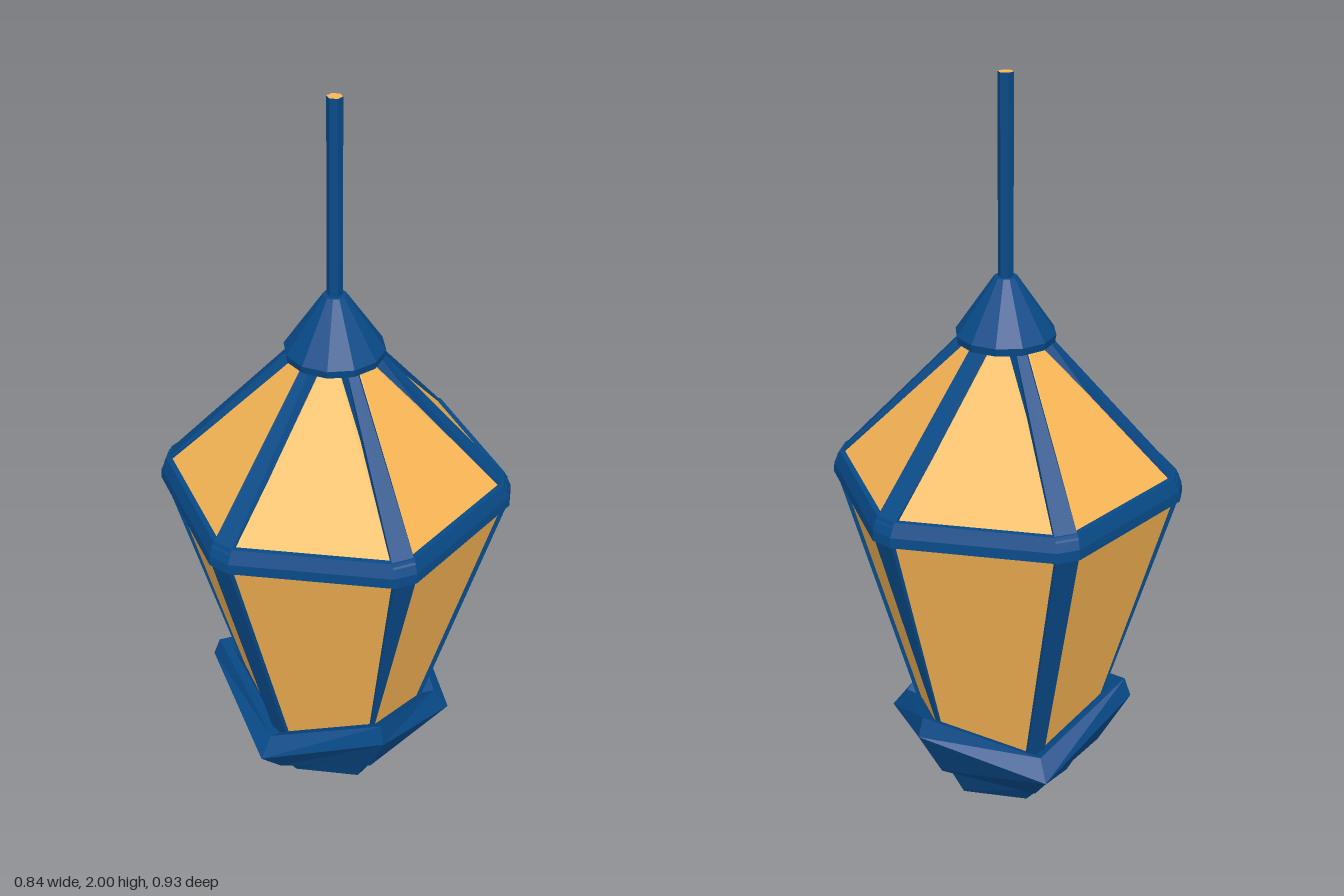
import * as THREE from 'three';

const blue = new THREE.MeshStandardMaterial({ color: 0x084a88, flatShading: true });
const amber = new THREE.MeshStandardMaterial({ color: 0xf9b656, flatShading: true });

// Point at angle a: r outwards, t sideways, y up.
function polar(a, r, y, t = 0) {
  return [Math.sin(a) * r + Math.cos(a) * t, y, Math.cos(a) * r - Math.sin(a) * t];
}

// Joins a list of equal-length rings (counter-clockwise from above) into a faceted skin.
function loft(rings, capped = true) {
  const pos = [];
  const tri = (a, b, c) => pos.push(...a, ...b, ...c);
  const n = rings[0].length;
  for (let k = 0; k + 1 < rings.length; k++) {
    const lo = rings[k], hi = rings[k + 1];
    for (let i = 0; i < n; i++) {
      const j = (i + 1) % n;
      tri(lo[i], lo[j], hi[j]);
      tri(lo[i], hi[j], hi[i]);
    }
  }
  if (capped) {
    const first = rings[0], last = rings[rings.length - 1];
    for (let i = 1; i + 1 < n; i++) {
      tri(first[0], first[i + 1], first[i]);
      tri(last[0], last[i], last[i + 1]);
    }
  }
  const g = new THREE.BufferGeometry();
  g.setAttribute('position', new THREE.Float32BufferAttribute(pos, 3));
  g.computeVertexNormals();
  return g;
}

const corners = [0, 1, 2, 3, 4, 5].map((i) => (i * Math.PI) / 3);

// Hexagon with corners blunted to half width w; even corners may differ.
const bluntHexagon = (y, r, w = 0.03, evenR = r, evenW = w) =>
  corners.flatMap((a, i) => {
    const [cr, cw] = i % 2 ? [r, w] : [evenR, evenW];
    return [polar(a, cr, y, -cw), polar(a, cr, y, cw)];
  });

// Hexagon whose corners alternate between a raised and a lowered [radius, height].
const zigzag = ([high, low]) =>
  corners.map((a, i) => polar(a, ...(i % 2 ? low : high)));

// Bar section at one corner: height, then radius and half width outside and inside.
const barSection = (a, [y, ro, wo, ri, wi]) => [
  polar(a, ro, y, -wo), polar(a, ro, y, wo), polar(a, ri, y, wi), polar(a, ri, y, -wi),
];

export function createModel() {
  const model = new THREE.Group();
  const add = (name, geometry, material, parent = model) => {
    const m = new THREE.Mesh(geometry, material);
    m.name = name;
    parent.add(m);
    return m;
  };

  // Glass body and glass roof
  add('bodyGlass', loft([
    bluntHexagon(0.13, 0.218, 0.024, 0.231, 0.001),
    bluntHexagon(0.93, 0.453),
  ]), amber);
  add('roofGlass', loft([bluntHexagon(0.965, 0.446), bluntHexagon(1.335, 0.078, 0.028)]), amber);

  // Bowl, with a small ledge below a rim that rises and falls in three points
  const cupRings = [
    [[0.18, 0], [0.18, 0]],
    [[0.235, 0.105], [0.222, 0.06]],
    [[0.268, 0.12], [0.25, 0.068]],
    [[0.356, 0.28], [0.333, 0.16]],
    [[0.338, 0.333], [0.29, 0.215]],
    [[0.30, 0.31], [0.25, 0.2]],
    [[0.2, 0.13], [0.2, 0.13]],
  ];
  add('cup', loft(cupRings.map(zigzag)), blue);

  // Band around the widest part
  const bandProfile = [
    [0.915, 0.425], [0.915, 0.467], [0.942, 0.465], [0.978, 0.449], [0.978, 0.425], [0.915, 0.425],
  ];
  add('band', loft(bandProfile.map(([y, r]) => bluntHexagon(y, r)), false), blue);

  // Corner posts (every second one tapers away) and roof ribs
  const posts = new THREE.Group();
  posts.name = 'cornerPosts';
  const ribs = new THREE.Group();
  ribs.name = 'roofRibs';
  model.add(posts, ribs);
  corners.forEach((a, i) => {
    const foot = i % 2 ? [0.13, 0.23, 0.024, 0.17, 0.024] : [0.13, 0.235, 0.001, 0.17, 0.001];
    add('post', loft([
      barSection(a, foot),
      barSection(a, [0.93, 0.465, 0.03, 0.39, 0.03]),
    ]), blue, posts);
    add('rib', loft([
      barSection(a, [0.965, 0.457, 0.03, 0.39, 0.03]),
      barSection(a, [1.335, 0.112, 0.013, 0.06, 0.03]),
    ]), blue, ribs);
  });

  // Conical cap
  const capProfile = [[0, 1.322], [0.128, 1.322], [0.131, 1.342], [0.03, 1.49], [0, 1.49]]
    .map(([x, y]) => new THREE.Vector2(x, y));
  add('cap', new THREE.LatheGeometry(capProfile, 12), blue);

  // Hanging rod with an amber end face
  const rod = new THREE.CylinderGeometry(0.02, 0.02, 0.53, 6, 1, true);
  add('rod', rod.translate(0, 1.735, 0), blue);
  const tip = new THREE.CircleGeometry(0.02, 6, Math.PI / 2).rotateX(-Math.PI / 2);
  add('rodEnd', tip.translate(0, 2, 0), amber);

  return model;
}
